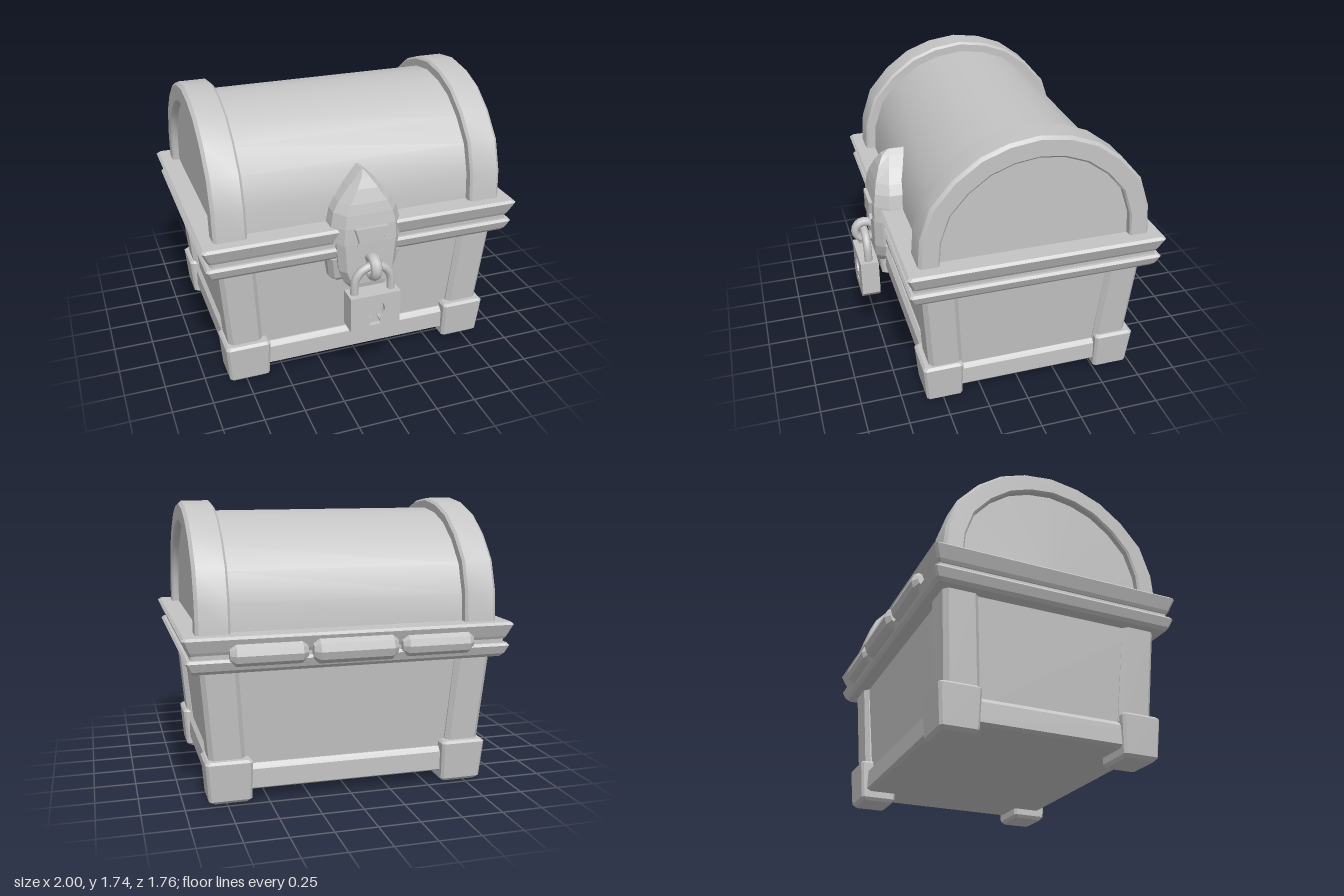
import * as THREE from 'three';

const ZC = -0.06; // the chest sits a little back, as the padlock hangs in front
const stone = new THREE.MeshStandardMaterial({ color: 0xc4c4c4 });
stone.name = 'plain grey';

function add(parent, name, geometry, x = 0, y = 0, z = 0) {
  const m = new THREE.Mesh(geometry, stone);
  m.name = name;
  m.position.set(x, y, z);
  parent.add(m);
  return m;
}

// Flat-faced solid from horizontal rings (bottom to top, counterclockwise from above)
function loft(rings) {
  const pos = [];
  const tri = (a, b, c) => pos.push(...a, ...b, ...c);
  const n = rings[0].length;
  for (let k = 0; k + 1 < rings.length; k++) {
    const a = rings[k], b = rings[k + 1];
    for (let i = 0; i < n; i++) {
      const j = (i + 1) % n;
      tri(a[i], a[j], b[j]);
      tri(a[i], b[j], b[i]);
    }
  }
  const lo = rings[0], hi = rings[rings.length - 1];
  for (let i = 1; i + 1 < n; i++) {
    tri(lo[0], lo[i + 1], lo[i]);
    tri(hi[0], hi[i], hi[i + 1]);
  }
  const g = new THREE.BufferGeometry();
  g.setAttribute('position', new THREE.Float32BufferAttribute(pos, 3));
  g.computeVertexNormals();
  return g;
}

// Rectangle ring with cut corners
function rect(y, xa, xb, za, zb, c) {
  const x0 = Math.min(xa, xb), x1 = Math.max(xa, xb);
  const z0 = Math.min(za, zb), z1 = Math.max(za, zb);
  return [
    [x1, y, z1 - c], [x1, y, z0 + c], [x1 - c, y, z0], [x0 + c, y, z0],
    [x0, y, z0 + c], [x0, y, z1 - c], [x0 + c, y, z1], [x1 - c, y, z1],
  ];
}

// Centred block from sections [y, half width, half depth]
const block = (sections, c) => loft(sections.map(([y, w, d]) => rect(y, -w, w, -d, d, c)));

// Faceted plate from sections [y, half width, side z, inner half width, front z]
const shield = (sections, back) => loft(sections.map(([y, w, s, wi, f]) => [
  [w, y, back], [-w, y, back], [-w, y, s], [-wi, y, f], [wi, y, f], [w, y, s],
]));

// Lid arch outline: [z, height above the rim]
const half = [[0.7, 0], [0.685, 0.18], [0.62, 0.37], [0.49, 0.52], [0.34, 0.63], [0.18, 0.69]];
const arch = [...half, [0, 0.715], ...half.map(([z, y]) => [-z, y]).reverse()];

// Sweeps a profile of [x, scale] along the arch: smooth along it, sharp across it
function archSweep(profile) {
  const pos = [], index = [];
  for (let k = 0; k + 1 < profile.length; k++) {
    const base = pos.length / 3;
    for (const [z, y] of arch)
      for (const [x, s] of [profile[k], profile[k + 1]]) pos.push(x, y * s, z * s);
    for (let i = 0; i + 1 < arch.length; i++) {
      const a = base + i * 2;
      index.push(a, a + 1, a + 2, a + 1, a + 3, a + 2);
    }
  }
  const g = new THREE.BufferGeometry();
  g.setAttribute('position', new THREE.Float32BufferAttribute(pos, 3));
  g.setIndex(index);
  g.computeVertexNormals();
  return g;
}

function buildBase(chest) {
  add(chest, 'bodyPanels', block([[0.08, 0.8, 0.59], [0.83, 0.868, 0.652]], 0.01));
  add(chest, 'bottomRail', block([
    [0.06, 0.81, 0.61], [0.075, 0.835, 0.635], [0.19, 0.835, 0.635], [0.22, 0.81, 0.61]], 0.01));
  for (const sx of [-1, 1]) for (const sz of [-1, 1]) {
    add(chest, 'cornerPost', loft([
      rect(0.22, sx * 0.63, sx * 0.845, sz * 0.43, sz * 0.64, 0.027),
      rect(0.83, sx * 0.67, sx * 0.895, sz * 0.47, sz * 0.682, 0.027)]));
    const foot = (y, i, x, z) => rect(y, sx * (0.595 + i), sx * x, sz * (0.435 + i), sz * z, 0.015);
    add(chest, 'foot', loft([
      foot(0, 0.02, 0.835, 0.645), foot(0.02, 0.005, 0.857, 0.665),
      foot(0.25, 0, 0.875, 0.685), foot(0.265, 0.015, 0.86, 0.67)]));
  }
  add(chest, 'baseRim', block([
    [0.805, 0.94, 0.73], [0.825, 0.958, 0.748], [0.875, 0.98, 0.768], [0.89, 0.968, 0.756]], 0.012));
  add(chest, 'rimGap', block([[0.88, 0.95, 0.74], [0.93, 0.95, 0.74]], 0.012));
}

function buildLid(chest) {
  add(chest, 'lidRim', block([
    [0.915, 0.958, 0.742], [0.933, 0.97, 0.752], [1.005, 1.0, 0.78], [1.02, 0.985, 0.765]], 0.015));
  add(chest, 'lidBarrel', archSweep([[-0.75, 0.912], [0.75, 0.912]]), 0, 1.02);
  const band = archSweep([
    [0.715, 0.88], [0.715, 0.98], [0.73, 1], [0.895, 1], [0.915, 0.975],
    [0.915, 0.84], [0.905, 0.825], [0.87, 0.825]]);
  const panel = archSweep([[0.87, 0.83], [0.87, 0]]);
  for (const turn of [0, Math.PI]) {
    add(chest, 'lidBand', band, 0, 1.02).rotation.y = turn;
    add(chest, 'lidEndPanel', panel, 0, 1.02).rotation.y = turn;
  }
}

// Barrel hinge knuckles along the back
function buildHinges(parent) {
  for (const [x, len, r] of [[-0.51, 0.45, 0.07], [0, 0.51, 0.08], [0.51, 0.45, 0.07]]) {
    const h = len / 2;
    const pts = [[0, -h], [r - 0.03, -h], [r, -h + 0.035], [r, h - 0.035], [r - 0.03, h], [0, h]]
      .map(([a, b]) => new THREE.Vector2(a, b));
    const g = new THREE.LatheGeometry(pts, 10).toNonIndexed();
    g.computeVertexNormals();
    add(parent, 'hingeKnuckle', g, x, 0.913, -0.8).rotation.z = Math.PI / 2;
  }
}

function buildLatch(parent) {
  add(parent, 'upperLatchPlate', shield([
    [0.925, 0.23, 0.67, 0.165, 0.752], [1.03, 0.217, 0.665, 0.16, 0.748],
    [1.11, 0.2, 0.655, 0.145, 0.735], [1.17, 0.165, 0.645, 0.115, 0.72],
    [1.25, 0.098, 0.63, 0.065, 0.69], [1.31, 0.038, 0.615, 0.025, 0.655],
    [1.34, 0.004, 0.6, 0.002, 0.61]], 0.4));
  add(parent, 'lowerLatchPlate', shield([
    [0.59, 0.09, 0.7, 0.07, 0.735], [0.65, 0.145, 0.7, 0.11, 0.75],
    [0.74, 0.182, 0.705, 0.145, 0.755], [0.93, 0.2, 0.71, 0.16, 0.755]], 0.69));
  add(parent, 'latchBracket', shield([
    [0.635, 0.19, 0.61, 0.17, 0.64], [0.66, 0.215, 0.62, 0.19, 0.66],
    [0.81, 0.24, 0.655, 0.215, 0.69]], 0.5));
  add(parent, 'latchTab', shield([
    [0.905, 0.09, 0.765, 0.085, 0.772], [0.94, 0.078, 0.765, 0.073, 0.772],
    [1.03, 0.105, 0.762, 0.1, 0.77]], 0.7));
  // Upright ring that the padlock hangs from
  const ring = add(parent, 'stapleRing', new THREE.TorusGeometry(0.061, 0.027, 8, 16), 0, 0.785, 0.797);
  ring.rotation.y = Math.PI / 2;
  ring.scale.z = 1.35;
}

function buildPadlock(parent) {
  const lock = new THREE.Group();
  lock.name = 'padlock';
  parent.add(lock);
  const outline = () => new THREE.Shape([
    [-0.16, 0.62], [-0.16, 0.39], [-0.115, 0.345], [0.115, 0.345], [0.16, 0.39], [0.16, 0.62],
  ].map(([x, y]) => new THREE.Vector2(x, y)));
  const slab = (shape, depth) => new THREE.ExtrudeGeometry(shape, { depth, bevelEnabled: false, curveSegments: 10 });
  const front = outline();
  // Keyhole: round top with a flared slot
  const key = new THREE.Path();
  key.moveTo(-0.04, 0.41);
  key.lineTo(0.04, 0.41);
  key.lineTo(0.02, 0.458);
  key.absarc(0, 0.515, 0.06, -1.23, Math.PI + 1.23, false);
  key.closePath();
  front.holes.push(key);
  add(lock, 'lockBody', slab(outline(), 0.085), 0, 0, 0.743);
  add(lock, 'lockFace', slab(front, 0.032), 0, 0, 0.828);

  // Shackle
  const path = [[-0.118, 0.6], [-0.118, 0.67]];
  for (let i = 1; i <= 9; i++) {
    const a = Math.PI * (1 - i / 10);
    path.push([0.118 * Math.cos(a), 0.675 + 0.118 * Math.sin(a)]);
  }
  path.push([0.118, 0.67], [0.118, 0.6]);
  const curve = new THREE.CatmullRomCurve3(path.map(([x, y]) => new THREE.Vector3(x, y, 0.802)));
  add(lock, 'shackle', new THREE.TubeGeometry(curve, 28, 0.026, 8));
}

export function createModel() {
  const model = new THREE.Group();
  model.name = 'treasureChest';
  const chest = new THREE.Group();
  chest.name = 'chest';
  chest.position.z = ZC;
  model.add(chest);
  buildBase(chest);
  buildLid(chest);
  buildHinges(model);
  buildLatch(model);
  buildPadlock(model);
  return model;
}
